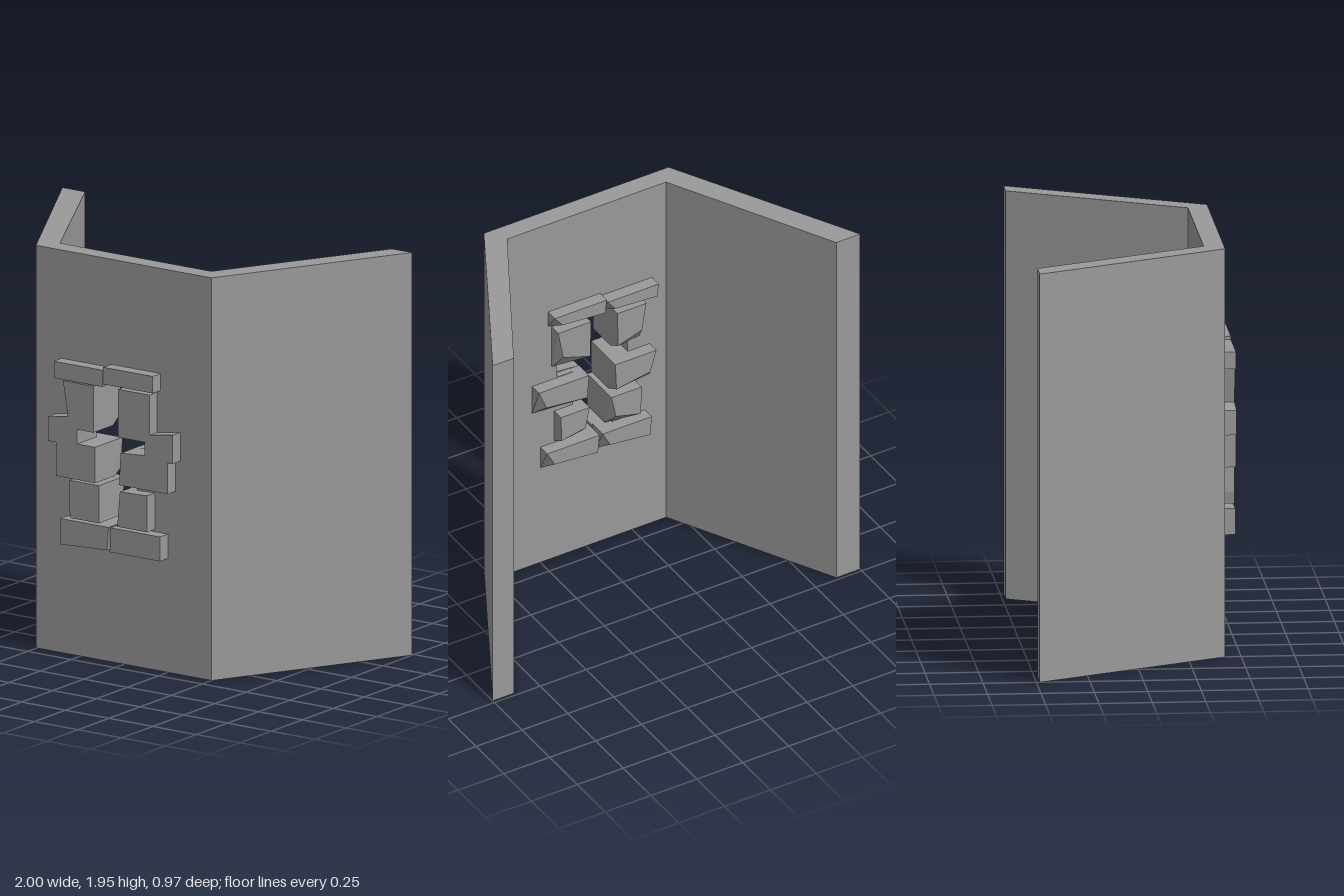
import * as THREE from 'three';
import { ConvexGeometry } from 'three/addons/geometries/ConvexGeometry.js';

const HEIGHT = 1.945, WALL_FRONT = 0.425, WALL_BACK = 0.33;
const STONE_FRONT = 0.488, STONE_BACK = 0.268;
const material = new THREE.MeshStandardMaterial({ color: 0x999999, flatShading: true });

const toPoints = (list) => list.map(([x, y]) => new THREE.Vector2(x, y));

function addMesh(parent, name, geometry) {
  const mesh = new THREE.Mesh(geometry, material);
  mesh.name = name;
  parent.add(mesh);
}

// Prism with its outline in x, y, running from z0 to z1
function prism(outline, z0, z1, hole) {
  const shape = new THREE.Shape(toPoints(outline));
  if (hole) shape.holes.push(new THREE.Path(toPoints(hole)));
  const geometry = new THREE.ExtrudeGeometry(shape, { depth: z1 - z0, bevelEnabled: false });
  return geometry.translate(0, 0, z0);
}

// Full-height wall section from a plan outline in x, z
function wallFromPlan(plan) {
  return prism(plan.map(([x, z]) => [x, -z]), 0, HEIGHT).rotateX(-Math.PI / 2);
}

let seed = 11;
function random() {
  seed = (seed * 16807) % 2147483647;
  return seed / 2147483647;
}

// Rough rear of a stone: square top edge, undercut bottom with one chipped corner
function roughBack([x0, y0, x1, y1]) {
  const w = x1 - x0, h = y1 - y0, points = [];
  const chipLeft = random() < 0.5;
  for (const [x, inward, chipped] of [[x0, 1, !chipLeft], [x1, -1, chipLeft]]) {
    const undercut = h * (chipped ? 0.35 : 0.12 + random() * 0.1);
    points.push(
      new THREE.Vector3(x, y0, 0.4),
      new THREE.Vector3(x, y1, 0.4),
      new THREE.Vector3(x, y0, WALL_BACK),
      new THREE.Vector3(x, y1, STONE_BACK),
      new THREE.Vector3(x + inward * w * (chipped ? 0.15 : 0.03), y0 + undercut, STONE_BACK)
    );
  }
  return new ConvexGeometry(points);
}

export function createModel() {
  const model = new THREE.Group();
  model.name = 'foldedWallWithBreach';

  // Angled side walls
  addMesh(model, 'rightWall', wallFromPlan([[-1, -0.485], [-0.505, WALL_FRONT], [-0.435, WALL_BACK], [-0.87, -0.485]]));
  addMesh(model, 'leftWall', wallFromPlan([[1, -0.485], [0.5, WALL_FRONT], [0.43, WALL_BACK], [0.885, -0.485]]));

  // Middle wall with a cross-shaped opening, mitred at both ends
  const opening = [
    [-0.14, 0.565], [0.075, 0.565], [0.075, 1.04], [0.16, 1.04], [0.16, 1.115], [0.075, 1.115],
    [0.075, 1.355], [-0.14, 1.355], [-0.14, 1.115], [-0.225, 1.115], [-0.225, 1.04], [-0.14, 1.04],
  ];
  const middle = prism([[-0.505, 0], [0.5, 0], [0.5, HEIGHT], [-0.505, HEIGHT]], WALL_BACK, WALL_FRONT, opening);
  const position = middle.attributes.position;
  for (let i = 0; i < position.count; i++) {
    if (position.getZ(i) > WALL_BACK + 0.01) continue;
    if (position.getX(i) < -0.5) position.setX(i, -0.435);
    if (position.getX(i) > 0.49) position.setX(i, 0.43);
  }
  middle.computeVertexNormals();
  addMesh(model, 'middleWall', middle);

  // Stone frame: front outline and the rectangles of its rough rear blocks
  const stones = {
    topRightStone: {
      front: [[-0.358, 1.341], [-0.08, 1.341], [-0.08, 1.422], [-0.358, 1.422]],
      rear: [[-0.358, 1.341, -0.08, 1.422]],
    },
    topLeftStone: {
      front: [[-0.075, 1.355], [0.208, 1.355], [0.208, 1.437], [-0.075, 1.437]],
      rear: [[-0.075, 1.355, 0.208, 1.437]],
    },
    rightArmStone: {
      front: [
        [-0.305, 1.336], [-0.132, 1.336], [-0.132, 1.112], [-0.225, 1.112], [-0.225, 1.043], [-0.121, 1.043],
        [-0.121, 0.87], [-0.345, 0.87], [-0.345, 1.032], [-0.39, 1.032], [-0.39, 1.15], [-0.278, 1.166],
      ],
      rear: [[-0.29, 1.112, -0.132, 1.336], [-0.345, 0.87, -0.121, 1.043]],
    },
    leftArmStone: {
      front: [
        [0.01, 1.344], [0.189, 1.344], [0.189, 1.15], [0.322, 1.171], [0.322, 1.032], [0.294, 1.032],
        [0.294, 0.882], [0.016, 0.882], [0.024, 1.037], [0.16, 1.048], [0.16, 1.112], [0.01, 1.112],
      ],
      rear: [[0.01, 1.112, 0.189, 1.344], [0.022, 0.882, 0.294, 1.037]],
    },
    lowerRightStone: {
      front: [[-0.267, 0.861], [-0.1, 0.861], [-0.1, 0.679], [-0.262, 0.679], [-0.272, 0.738]],
      rear: [[-0.265, 0.679, -0.1, 0.861]],
    },
    lowerLeftStone: {
      front: [[0.02, 0.85], [0.175, 0.855], [0.175, 0.679], [0.005, 0.679]],
      rear: [[0.018, 0.679, 0.175, 0.85]],
    },
    bottomRightStone: {
      front: [[-0.32, 0.668], [-0.045, 0.668], [-0.053, 0.556], [-0.32, 0.543]],
      rear: [[-0.32, 0.55, -0.053, 0.668]],
    },
    bottomLeftStone: {
      front: [[-0.035, 0.668], [0.25, 0.668], [0.25, 0.55], [-0.038, 0.55]],
      rear: [[-0.035, 0.55, 0.25, 0.668]],
    },
  };
  for (const [name, { front, rear }] of Object.entries(stones)) {
    const stone = new THREE.Group();
    stone.name = name;
    addMesh(stone, 'dressedFace', prism(front, 0.36, STONE_FRONT));
    for (const block of rear) addMesh(stone, 'roughRear', roughBack(block));
    model.add(stone);
  }
  return model;
}
